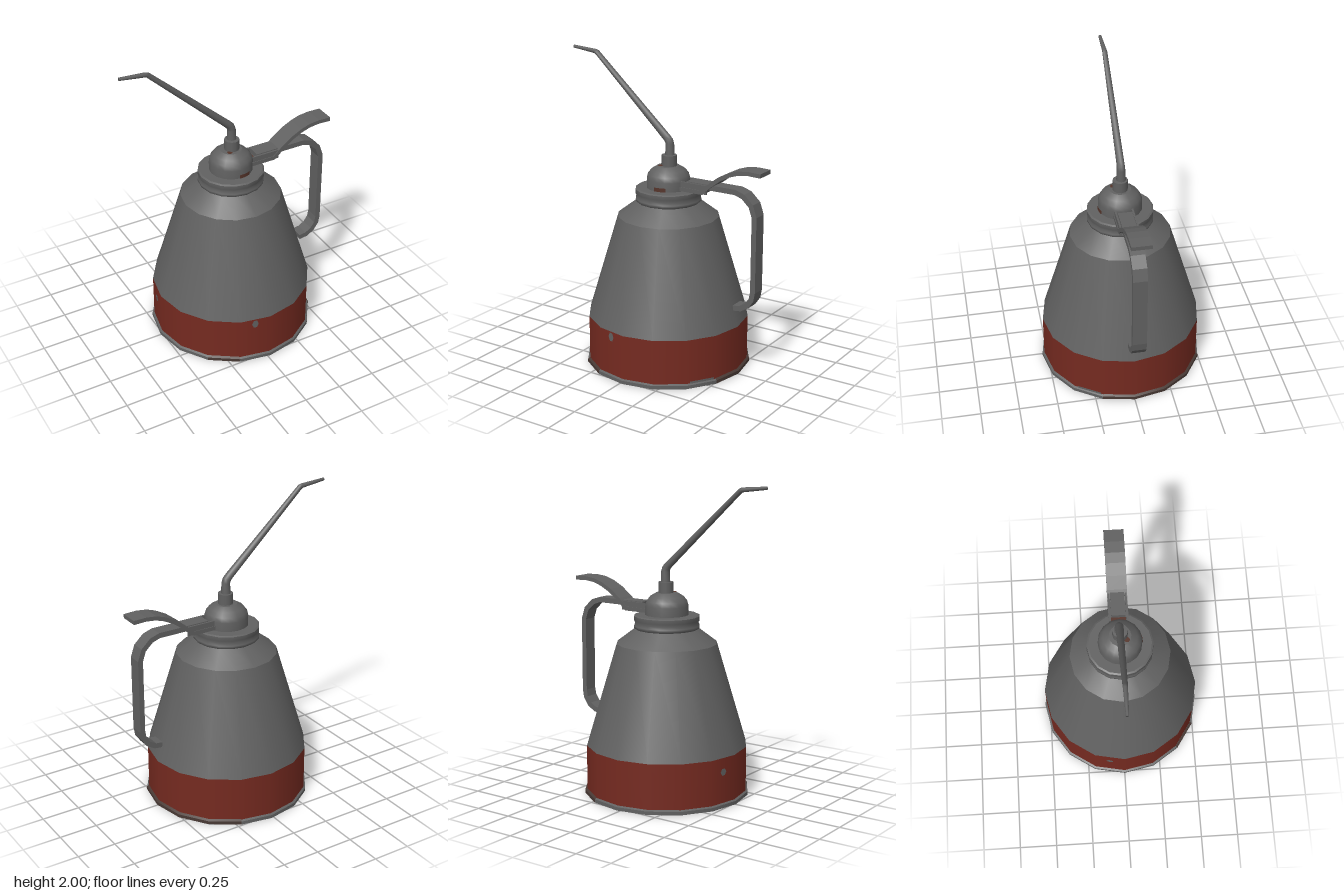
import * as THREE from 'three';
import { mergeGeometries } from 'three/addons/utils/BufferGeometryUtils.js';

const SIDES = 16;
const CX = 0.018; // axis of the can

function material(name, color) {
  const m = new THREE.MeshStandardMaterial({ color });
  m.name = name;
  return m;
}

// Turned part: every section is smooth around, with a sharp edge between sections
function turned(sections, sides = SIDES, start = 0, length = 360) {
  const rad = THREE.MathUtils.degToRad;
  return mergeGeometries(sections.map(s => new THREE.LatheGeometry(
    s.map(([r, y]) => new THREE.Vector2(r, y)), sides, rad(start), rad(length))));
}
const pairs = pts => pts.slice(1).map((p, i) => [pts[i], p]);

// Mitred side direction of an xy path at point i
function sideways(path, i) {
  const dir = (a, b) => new THREE.Vector2(b[0] - a[0], b[1] - a[1]).normalize();
  const before = i > 0 ? dir(path[i - 1], path[i]) : dir(path[0], path[1]);
  const after = i < path.length - 1 ? dir(path[i], path[i + 1]) : before;
  const t = before.clone().add(after).normalize();
  return new THREE.Vector2(-t.y, t.x).divideScalar(Math.max(0.5, t.dot(before)));
}

// Flat metal strip bent along an xy path
function strip(path, thickness, width) {
  const edge = s => path.map((p, i) =>
    new THREE.Vector2(p[0], p[1]).addScaledVector(sideways(path, i), s * thickness / 2));
  const shape = new THREE.Shape([...edge(-1), ...edge(1).reverse()]);
  const geo = new THREE.ExtrudeGeometry(shape, { depth: width, bevelEnabled: false });
  return geo.translate(0, 0, -width / 2);
}

// Tapered round tube along an xy path of [x, y, radius]
function taperedTube(path, sides) {
  const pos = [], index = [];
  path.forEach(([x, y, r], i) => {
    const n = sideways(path, i);
    for (let k = 0; k < sides; k++) {
      const a = k / sides * Math.PI * 2, c = Math.cos(a) * r;
      pos.push(x + n.x * c, y + n.y * c, Math.sin(a) * r);
      if (i === path.length - 1) continue;
      const p = i * sides + k, q = i * sides + (k + 1) % sides;
      index.push(p, q, p + sides, q, q + sides, p + sides);
    }
  });
  // end cap
  const last = (path.length - 1) * sides;
  for (let k = 1; k < sides - 1; k++) index.push(last, last + k, last + k + 1);
  const geo = new THREE.BufferGeometry();
  geo.setAttribute('position', new THREE.Float32BufferAttribute(pos, 3));
  geo.setIndex(index);
  geo.computeVertexNormals();
  return geo;
}

export function createModel() {
  const metal = material('grey metal', 0x616161);
  const paint = material('red paint', 0x752a20);
  const rust = material('brown rust', 0x55342a);
  const grime = material('dark grime', 0x483934);
  metal.side = rust.side = grime.side = THREE.DoubleSide;

  const model = new THREE.Group();
  model.name = 'oilCan';
  const add = (name, geo, mat, x = 0) => {
    const mesh = new THREE.Mesh(geo, mat);
    mesh.name = name;
    mesh.position.x = x;
    model.add(mesh);
    return mesh;
  };

  // Body
  add('baseRim', turned(pairs([[0, 0], [0.535, 0], [0.535, 0.022], [0.52, 0.03]])), metal, CX);
  add('paintedBand', turned([[[0.522, 0.028], [0.522, 0.32]]]), paint, CX);
  add('cone', turned(pairs([[0.522, 0.32], [0.325, 0.98], [0.2, 1.075]])), metal, CX);
  add('collar', turned([
    [[0.195, 1.065], [0.212, 1.08], [0.212, 1.095], [0.202, 1.112], [0.212, 1.13], [0.212, 1.156]],
    [[0.212, 1.156], [0.201, 1.162]], [[0.201, 1.162], [0, 1.162]],
  ]), metal, CX);

  // Pump dome and spout socket
  add('dome', turned([
    [[0.14, 1.155], [0.14, 1.22], [0.131, 1.25], [0.109, 1.278], [0.07, 1.302]],
    [[0.07, 1.302], [0, 1.304]],
  ]), metal, CX);
  add('spoutSocket', turned(pairs([[0.048, 1.295], [0.048, 1.372], [0, 1.374]]), 12), metal, 0.024);

  // Bent spout
  add('spout', taperedTube([
    [0.025, 1.36, 0.031], [0.025, 1.44, 0.027], [0.018, 1.462, 0.026], [0, 1.482, 0.025],
    [-0.53, 1.968, 0.016], [-0.545, 1.974, 0.015], [-0.714, 1.99, 0.01],
  ], 10), metal).position.z = -0.005;

  // Handle and thumb lever
  add('handle', strip([
    [0.182, 1.216], [0.53, 1.216], [0.587, 1.197], [0.643, 1.145], [0.667, 1.075],
    [0.667, 0.59], [0.658, 0.54], [0.627, 0.495], [0.58, 0.467], [0.53, 0.461],
  ], 0.034, 0.09), metal);
  add('thumbLever', strip([
    [0.14, 1.181], [0.3, 1.181], [0.36, 1.235], [0.43, 1.288], [0.5, 1.324],
    [0.56, 1.344], [0.63, 1.352], [0.713, 1.349],
  ], 0.026, 0.128), metal);
  for (const side of [-1, 1]) {
    const cheek = new THREE.BoxGeometry(0.19, 0.058, 0.012);
    add('leverCheek', cheek.translate(0.24, 1.2, side * 0.054), metal);
  }

  // Rust on the dome and in the lever channel
  add('domeRust', turned([[[0.143, 1.163], [0.143, 1.188]]], 4, -6, 32), rust, CX);
  add('domeTopRust', new THREE.CircleGeometry(0.018, 7).rotateX(-Math.PI / 2)
    .translate(-0.012, 1.306, 0.042), rust);
  add('channelRust', new THREE.BoxGeometry(0.03, 0.004, 0.094).translate(0.167, 1.196, 0), rust);

  // Chips in the paint, lying on the flats of the band
  const flat = 0.522 * Math.cos(Math.PI / SIDES) + 0.003;
  for (const [deg, y, w, h] of [[-11.25, 0.285, 0.022, 0.032], [258.75, 0.23, 0.025, 0.025]]) {
    const a = THREE.MathUtils.degToRad(deg);
    const chip = new THREE.CircleGeometry(1, 6).scale(w, h, 1).translate(0, y, flat).rotateY(a);
    add('paintChip', chip, metal, CX);
  }
  add('bottomChip', turned([[[0.525, 0.03], [0.525, 0.044]]], 1, 48, 18), metal, CX);

  // Grime on the base rim
  for (const [start, count] of [[67.5, 4], [315, 1]]) {
    const edge = pairs([[0.537, 0.002], [0.537, 0.023], [0.523, 0.032]]);
    add('rimGrime', turned(edge, count, start, count * 22.5), grime, CX);
  }

  // Grime patches under the base
  const patches = [
    [[-0.51, -0.05], [-0.46, -0.22], [-0.3, -0.42], [0, -0.52], [0.22, -0.47], [0.13, -0.4], [-0.03, -0.28], [-0.23, -0.22], [-0.4, -0.18]],
    [[0.15, 0.49], [0.36, 0.37], [0.5, 0.1], [0.52, -0.02], [0.41, 0.18], [0.3, 0.23], [0.2, 0.36]],
    [[-0.34, 0.1], [-0.3, 0.15], [-0.26, 0.11], [-0.26, 0.05], [-0.3, 0.04]],
  ];
  for (const patch of patches) {
    const shape = new THREE.Shape(patch.map(([u, v]) =>
      new THREE.Vector2(-0.8 * u - 0.6 * v, -0.6 * u + 0.8 * v)));
    add('baseGrime', new THREE.ShapeGeometry(shape).rotateX(Math.PI / 2).translate(0, -0.002, 0), grime, CX);
  }
  return model;
}
